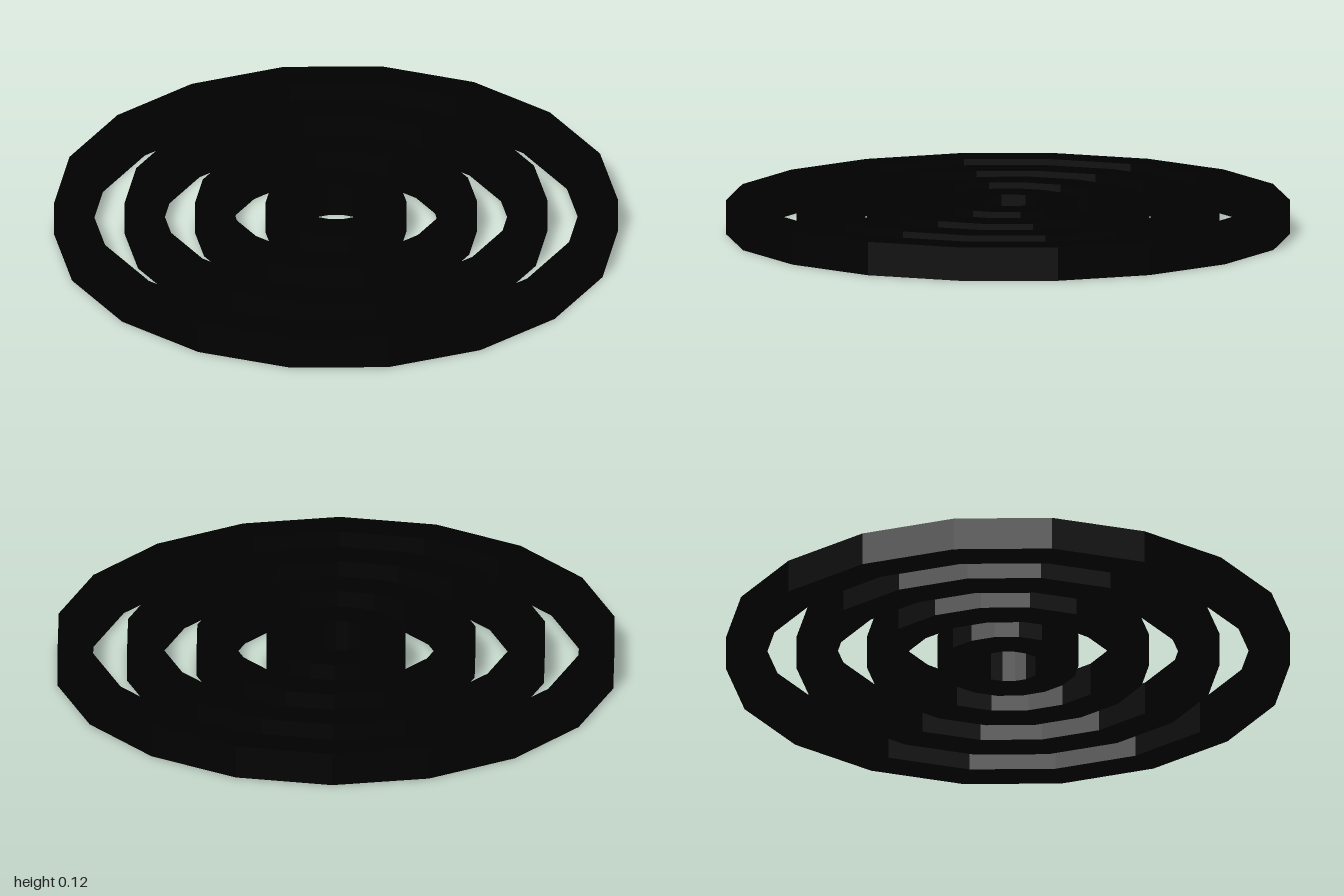
import * as THREE from 'three';

const SIDES = 18;
const HEIGHT = 0.12;
const WIDTH = 0.125;

// Flat-sided ring with a rectangular section, corners on the x axis
function makeRing(outer, material) {
  const inner = outer - WIDTH;
  const section = [
    [inner, 0], [outer, 0], [outer, HEIGHT], [inner, HEIGHT], [inner, 0],
  ].map(([r, y]) => new THREE.Vector2(r, y));
  const geometry = new THREE.LatheGeometry(section, SIDES, Math.PI / 2);
  return new THREE.Mesh(geometry, material);
}

export function createModel() {
  const model = new THREE.Group();
  model.name = 'concentricRings';
  const black = new THREE.MeshStandardMaterial({ color: 0x000000, flatShading: true });

  // Four evenly spaced rings, from the centre outwards
  const names = ['centreRing', 'innerRing', 'middleRing', 'outerRing'];
  names.forEach((name, i) => {
    const ring = makeRing(0.25 * (i + 1), black);
    ring.name = name;
    model.add(ring);
  });
  return model;
}
